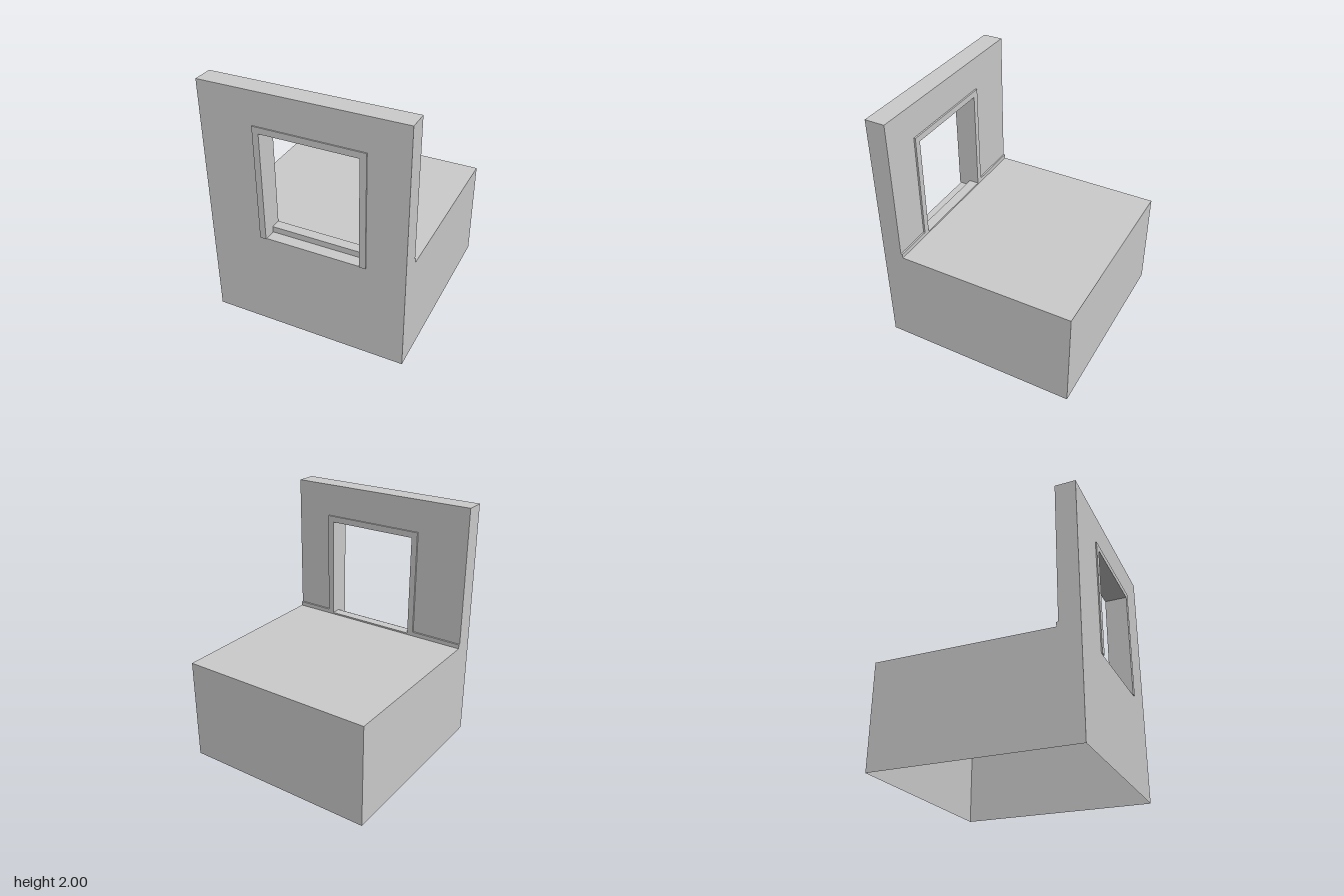
import * as THREE from 'three';

const W = 0.797, H = 2;                     // half width, wall height
const FRONT = 0.793, INNER = 0.632, BACK = -0.8; // wall faces and rear of the room
const FLOOR = 0.837;
const TRIM_FRONT = 0.802, TRIM_BACK = 0.618;
const win = { x0: -0.367, x1: 0.493, y0: 0.802, y1: 1.737, t: 0.05 };

const material = new THREE.MeshStandardMaterial({ color: 0xcccccc, side: THREE.DoubleSide });

function polygon(points) {
  return new THREE.Shape(points.map(([x, y]) => new THREE.Vector2(x, y)));
}

function rect(x0, y0, x1, y1) {
  return polygon([[x0, y0], [x1, y0], [x1, y1], [x0, y1]]);
}

export function createModel() {
  const group = new THREE.Group();

  function add(name, geometry) {
    const mesh = new THREE.Mesh(geometry, material);
    mesh.name = name;
    group.add(mesh);
    return mesh;
  }

  function box(name, x0, x1, y0, y1, z0, z1) {
    add(name, new THREE.BoxGeometry(x1 - x0, y1 - y0, z1 - z0))
      .position.set((x0 + x1) / 2, (y0 + y1) / 2, (z0 + z1) / 2);
  }

  // Horizontal sheet facing up
  function deck(name, x0, x1, z0, z1, y) {
    add(name, new THREE.PlaneGeometry(x1 - x0, z1 - z0).rotateX(-Math.PI / 2))
      .position.set((x0 + x1) / 2, y, (z0 + z1) / 2);
  }

  // Wall sheets, the outer one reaching the ground, both cut for the window
  const outer = rect(-W, 0, W, H);
  outer.holes.push(rect(win.x0, win.y0, win.x1, win.y1));
  add('outerWallFace', new THREE.ShapeGeometry(outer).translate(0, 0, FRONT));

  const inner = polygon([
    [-W, FLOOR], [win.x0, FLOOR], [win.x0, win.y1], [win.x1, win.y1],
    [win.x1, FLOOR], [W, FLOOR], [W, H], [-W, H],
  ]);
  add('innerWallFace', new THREE.ShapeGeometry(inner).rotateY(Math.PI)
    .scale(-1, 1, 1).translate(0, 0, INNER));
  deck('wallTop', -W, W, INNER, FRONT, H);

  // L-shaped side sheets
  for (const side of [-1, 1]) {
    const profile = polygon([
      [BACK, 0], [FRONT, 0], [FRONT, H], [INNER, H], [INNER, FLOOR], [BACK, FLOOR],
    ].map(([z, y]) => [-side * z, y]));
    add(side > 0 ? 'leftSide' : 'rightSide',
      new THREE.ShapeGeometry(profile).rotateY(side * Math.PI / 2).translate(side * W, 0, 0));
  }

  // Floor and rear sheet; the base stays open underneath
  deck('floor', -W, W, BACK, INNER, FLOOR);
  add('rearSide', new THREE.PlaneGeometry(2 * W, FLOOR).rotateY(Math.PI))
    .position.set(0, FLOOR / 2, BACK);

  // Window frame: two jambs and a head in one piece through the wall
  const { x0, x1, y0, y1, t } = win;
  const frame = polygon([
    [x0, y0], [x0 + t, y0], [x0 + t, y1 - t], [x1 - t, y1 - t],
    [x1 - t, y0], [x1, y0], [x1, y1], [x0, y1],
  ]);
  add('windowFrame', new THREE.ExtrudeGeometry(frame, {
    depth: TRIM_FRONT - TRIM_BACK, bevelEnabled: false,
  }).translate(0, 0, TRIM_BACK));

  // Stepped sill: low outside, raised inside
  deck('outerSill', x0 + t, x1 - t, 0.7, FRONT, y0);
  box('innerSill', x0 + t, x1 - t, y0, 0.85, TRIM_BACK, 0.7);

  // Skirting on both sides of the window
  box('rightSkirting', -W, x0, FLOOR, 0.872, TRIM_BACK, INNER);
  box('leftSkirting', x1, W, FLOOR, 0.872, TRIM_BACK, INNER);

  return group;
}
